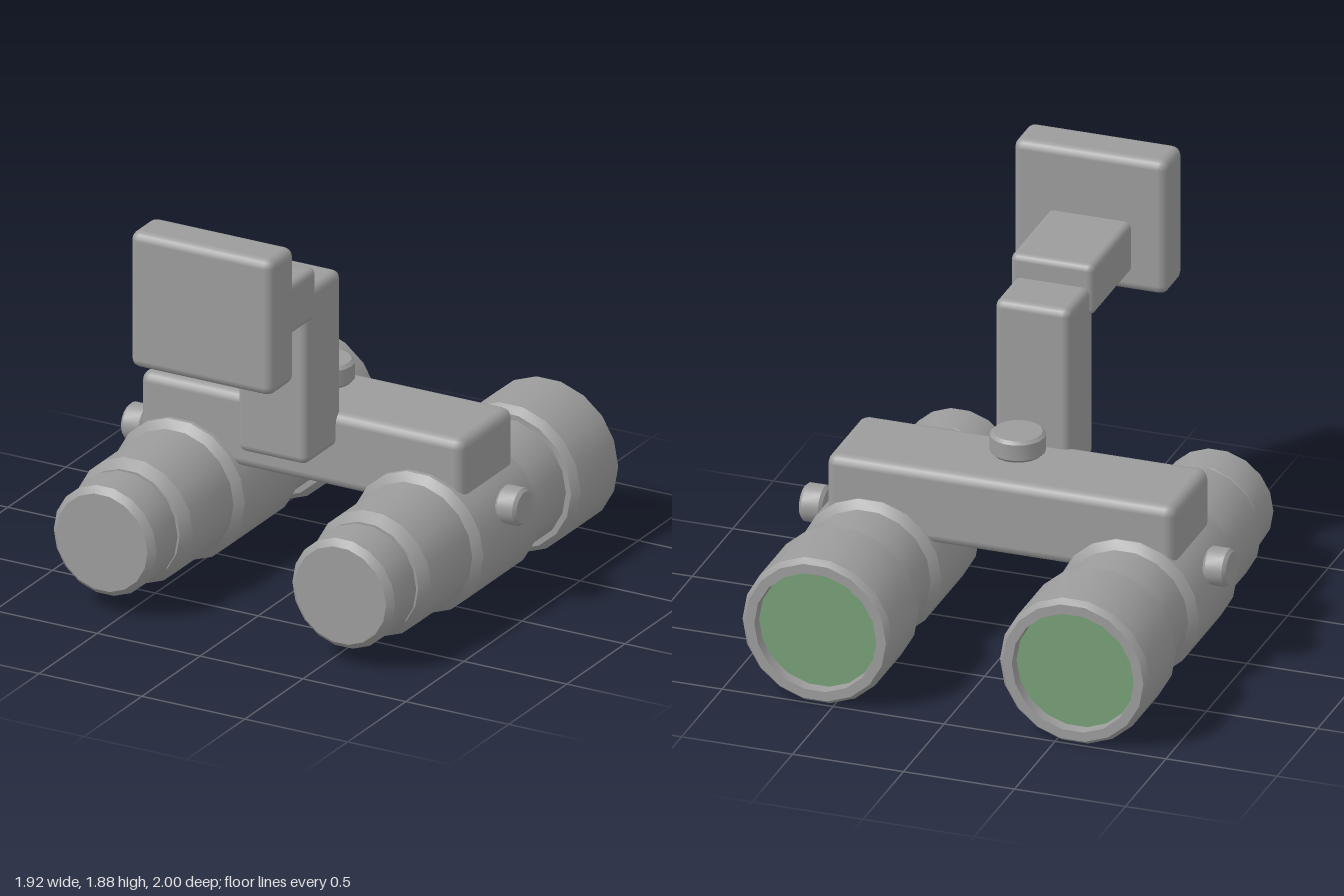
import * as THREE from 'three';
import { toCreasedNormals } from 'three/addons/utils/BufferGeometryUtils.js';
import { RoundedBoxGeometry } from 'three/addons/geometries/RoundedBoxGeometry.js';

const SIDES = 18;
const TUBE_X = 0.58, TUBE_Y = 0.335;

export function createModel() {
  const model = new THREE.Group();
  model.name = 'nightVisionGoggles';

  const housing = new THREE.MeshStandardMaterial({ color: 0x9c9c9c });
  housing.name = 'housing grey';
  const glass = new THREE.MeshStandardMaterial({ color: 0x78a078 });
  glass.name = 'lens green';

  const add = (parent, name, geometry, material = housing) => {
    const mesh = new THREE.Mesh(geometry, material);
    mesh.name = name;
    parent.add(mesh);
    return mesh;
  };

  // Solid of revolution from [radius, height] points, sharp at the chamfers
  const turned = (profile) => {
    const points = profile.map(([r, h]) => new THREE.Vector2(r, h));
    return toCreasedNormals(new THREE.LatheGeometry(points, SIDES, Math.PI / 2), 0.5);
  };

  // Bevelled box given by its limits on each axis
  const block = (name, [x0, x1], [y0, y1], [z0, z1], bevel) => {
    const mesh = add(model, name, new RoundedBoxGeometry(x1 - x0, y1 - y0, z1 - z0, 2, bevel));
    mesh.position.set((x0 + x1) / 2, (y0 + y1) / 2, (z0 + z1) / 2);
  };

  // Short knob with chamfered rims, centred on its own axis
  const knob = (name, radius, height, chamfer) => {
    const h = height / 2;
    return add(model, name, turned([
      [0, -h], [radius - chamfer, -h], [radius, -h + chamfer],
      [radius, h - chamfer], [radius - chamfer, h], [0, h],
    ]));
  };

  // Tube sections, listed from the rear lens to the front eyepiece
  const sections = {
    lensHood: [[0, -0.95], [0.27, -0.95], [0.275, -1], [0.318, -1], [0.338, -0.972],
      [0.338, -0.65], [0.31, -0.615], [0.285, -0.615]],
    barrel: [[0.285, -0.63], [0.285, -0.355], [0.32, -0.32], [0.32, 0.155], [0.285, 0.19],
      [0.285, 0.54], [0.25, 0.592], [0, 0.592]],
    eyepiece: [[0, 0.585], [0.235, 0.585], [0.25, 0.61], [0.25, 0.79], [0.222, 0.82], [0, 0.82]],
  };

  for (const [side, s] of [['left', 1], ['right', -1]]) {
    const tube = new THREE.Group();
    tube.name = side + 'Tube';
    tube.position.set(s * TUBE_X, TUBE_Y, 0);
    model.add(tube);
    for (const [name, profile] of Object.entries(sections)) {
      add(tube, name, turned(profile)).rotation.x = Math.PI / 2;
    }

    // Recessed glass facing the rear
    const lens = add(tube, 'lens', new THREE.CircleGeometry(0.27, SIDES), glass);
    lens.rotation.y = Math.PI;
    lens.position.z = -0.954;

    // Adjuster on the outer flank
    const adjuster = knob(side + 'Adjuster', 0.084, 0.105, 0.014);
    adjuster.rotation.z = -s * Math.PI / 2;
    adjuster.position.set(s * 0.909, 0.483, -0.09);
  }

  // Bridge joining the tubes, with its focus knob above
  block('bridge', [-0.785, 0.785], [0.485, 0.828], [-0.315, 0.135], 0.045);
  knob('focusKnob', 0.12, 0.1, 0.014).position.set(0, 0.92, -0.09);

  // Stepped mounting arm and head plate
  block('uprightArm', [-0.17, 0.17], [0.68, 1.478], [0.08, 0.385], 0.035);
  block('forwardArm', [-0.188, 0.188], [1.345, 1.582], [0.325, 0.83], 0.03);
  block('mountPlate', [-0.346, 0.346], [1.258, 1.882], [0.792, 1], 0.04);

  return model;
}
